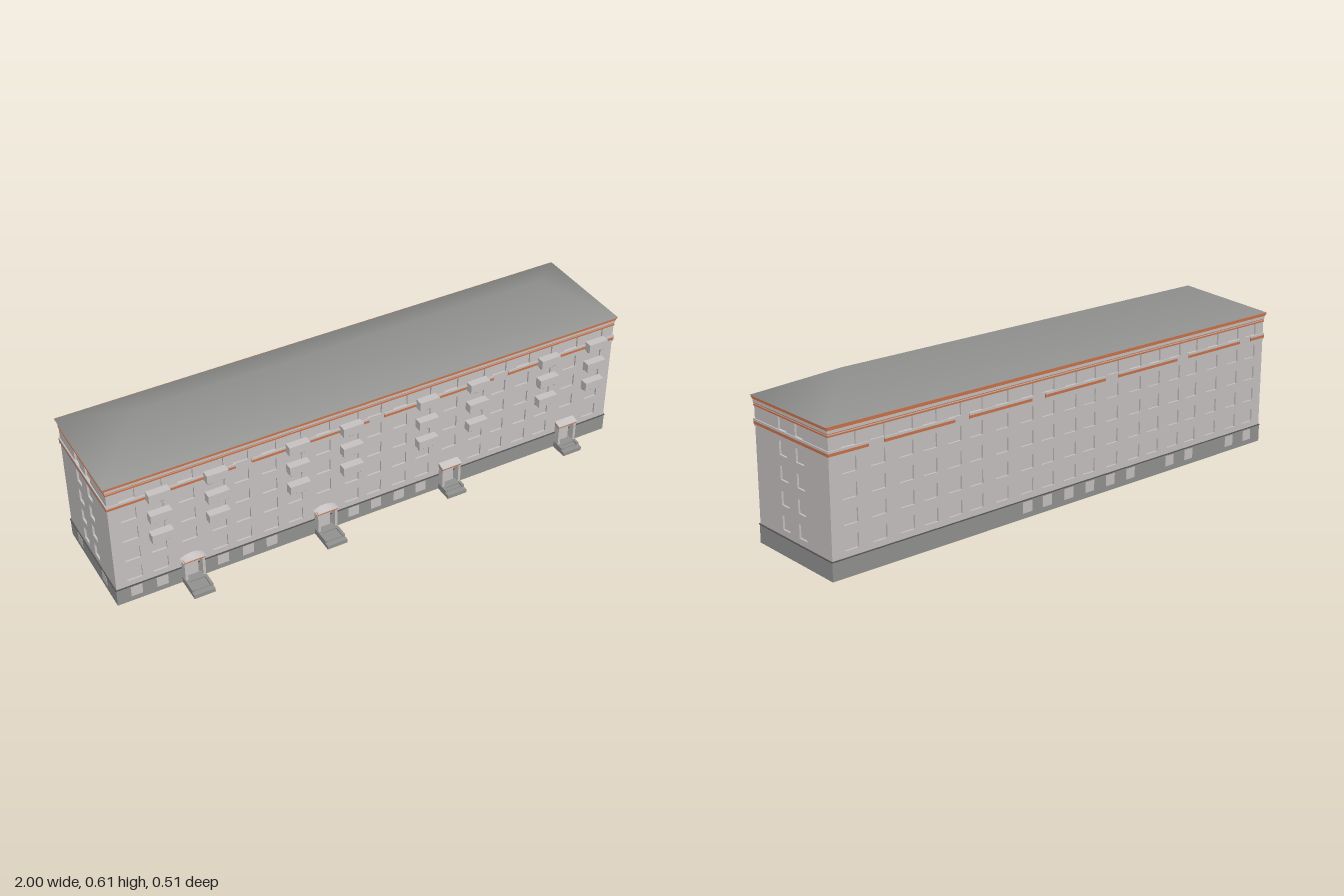
import * as THREE from 'three';

const mat = (name, color, side = THREE.FrontSide) => {
  const m = new THREE.MeshStandardMaterial({ color, side });
  m.name = name;
  return m;
};

export function createModel() {
  const wallMat = mat('wallPlaster', 0xc8c3c2, THREE.DoubleSide);
  const baseMat = mat('baseStone', 0x939492, THREE.DoubleSide);
  const roofMat = mat('roofSheet', 0x8f8f8d, THREE.DoubleSide);
  const trimMat = mat('orangeTrim', 0xcc734a);
  const darkMat = mat('darkEdge', 0x5a5858);

  const model = new THREE.Group();
  model.name = 'apartmentBlock';
  const X = 0.99, Z0 = -0.25, Z1 = 0.16, ZC = (Z0 + Z1) / 2, D = Z1 - Z0;

  const add = (parent, name, geo, material) => {
    const m = new THREE.Mesh(geo, material);
    m.name = name;
    parent.add(m);
    return m;
  };
  // Box given by its limits
  const box = (parent, name, material, x0, x1, y0, y1, z0, z1) => {
    const m = add(parent, name, new THREE.BoxGeometry(x1 - x0, y1 - y0, z1 - z0), material);
    m.position.set((x0 + x1) / 2, (y0 + y1) / 2, (z0 + z1) / 2);
  };
  const rect = (path, x0, x1, y0, y1) => {
    path.moveTo(x0, y0);
    path.lineTo(x1, y0);
    path.lineTo(x1, y1);
    path.lineTo(x0, y1);
    path.closePath();
    return path;
  };
  // Hollow rectangular band running round the building
  const ring = (name, material, y0, y1, out, thick = 0.01) => {
    const s = rect(new THREE.Shape(), -X - out, X + out, -D / 2 - out, D / 2 + out);
    const i = out - thick;
    s.holes.push(rect(new THREE.Path(), -X - i, X + i, -D / 2 - i, D / 2 + i));
    const m = add(model, name, new THREE.ExtrudeGeometry(s, { depth: y1 - y0, bevelEnabled: false }), material);
    m.rotation.x = -Math.PI / 2;
    m.position.set(0, y0, ZC);
  };

  const rows = [0.09, 0.175, 0.261, 0.346, 0.432];
  const H = 0.049;
  // Wall with recessed windows, cellar windows and a banded sill course with gaps
  const wall = (name, w, columns, ww, cellar, gaps, skip) => {
    const g = new THREE.Group();
    g.name = name;
    const s = rect(new THREE.Shape(), -w / 2, w / 2, 0.065, 0.505);
    for (const x of columns) rows.forEach((y, r) => {
      if (skip && skip(x, r)) return;
      s.holes.push(rect(new THREE.Path(), x - ww / 2, x + ww / 2, y, y + H));
    });
    const face = add(g, name + 'Face', new THREE.ExtrudeGeometry(s, { depth: 0.008, bevelEnabled: false }), wallMat);
    face.position.z = -0.008;
    const pane = add(g, 'windowPanes', new THREE.PlaneGeometry(w - 0.02, 0.44), wallMat);
    pane.position.set(0, 0.285, -0.007);
    for (const x of cellar) box(g, 'cellarWindow', wallMat, x - 0.021, x + 0.021, 0.02, 0.06, 0, 0.003);
    // Sill course pieces between the gaps
    let start = -w / 2 - 0.004;
    for (const x of [...gaps].sort((a, b) => a - b).concat(w / 2 + 0.034)) {
      const end = x - 0.03;
      box(g, 'sillCourse', wallMat, start, end, 0.424, 0.432, -0.004, 0.004);
      box(g, 'sillCourseStripe', trimMat, start, end, 0.414, 0.424, -0.004, 0.0035);
      box(g, 'sillCourseFoot', wallMat, start, end, 0.408, 0.414, -0.004, 0.0015);
      start = x + 0.03;
    }
    model.add(g);
    return g;
  };

  const entrances = [-0.715, -0.207, 0.3, 0.805];
  const columns = entrances.flatMap(e => [-0.205, -0.11, 0, 0.11, 0.2].map(d => e + d)).filter(x => Math.abs(x) < 0.955);
  const spaced = columns.filter((x, i) => i === 0 || x - columns[i - 1] > 0.07);
  const isStair = x => entrances.some(e => Math.abs(e - x) < 0.01);

  wall('frontWall', 2 * X, spaced, 0.055,
    [-0.92, -0.826, -0.6, -0.505, -0.414, -0.09, 0, 0.094, 0.185],
    [-0.505, 0, 0.506], (x, r) => r === 0 && isStair(x)).position.z = Z1;
  const back = wall('backWall', 2 * X, spaced.map(x => -x), 0.055,
    [-0.19, -0.1, 0, 0.1, 0.2, 0.3, 0.5, 0.6, 0.82, 0.92],
    [-0.81, -0.47, -0.14, 0.2, 0.555, 0.89]);
  back.position.z = Z0;
  back.rotation.y = Math.PI;
  for (const s of [1, -1]) {
    const end = wall(s > 0 ? 'leftEndWall' : 'rightEndWall', D, [-0.047, 0.047], 0.043,
      s > 0 ? [] : [-0.12, 0.1], []);
    end.position.set(s * X, 0, ZC);
    end.rotation.y = s * Math.PI / 2;
  }

  // Plinth, ledge and cornice
  ring('plinth', baseMat, 0, 0.065, 0.002);
  ring('plinthLedge', darkMat, 0.065, 0.068, 0.004);
  ring('lowerTrim', trimMat, 0.476, 0.481, 0.002);
  ring('upperTrim', trimMat, 0.485, 0.488, 0.002);
  ring('corniceBand', wallMat, 0.488, 0.499, 0.003);
  ring('corniceLower', trimMat, 0.499, 0.505, 0.005);
  ring('corniceUpper', trimMat, 0.505, 0.511, 0.007);

  // Hipped roof with soft normals
  const roof = new THREE.BufferGeometry();
  const e0 = Z0 - 0.006, e1 = Z1 + 0.009, ey = 0.511;
  roof.setAttribute('position', new THREE.Float32BufferAttribute([
    -1, ey, e1, 1, ey, e1, 1, ey, e0, -1, ey, e0, -0.79, 0.61, ZC, 0.79, 0.61, ZC], 3));
  roof.setIndex([0, 1, 4, 1, 5, 4, 2, 3, 4, 2, 4, 5, 1, 2, 5, 3, 0, 4]);
  roof.computeVertexNormals();
  add(model, 'hippedRoof', roof, roofMat);

  // Balconies in pairs beside each stairwell
  for (const e of entrances) for (const side of [-1, 1]) for (const y of [0.236, 0.321, 0.407]) {
    const g = new THREE.Group();
    g.name = 'balcony';
    box(g, 'balconyFloor', darkMat, -0.038, 0.038, 0, 0.002, 0, 0.028);
    box(g, 'balconyBody', wallMat, -0.039, 0.039, 0.002, 0.036, 0, 0.03);
    g.position.set(e + side * 0.103, y, Z1);
    model.add(g);
  }

  // Entrance porches with steps; the first two have arched canopies
  entrances.forEach((e, i) => {
    const g = new THREE.Group();
    g.name = 'entrancePorch';
    const arched = i < 2, far = arched ? 0.098 : 0.07;
    for (const s of [-1, 1]) {
      box(g, 'porchSide', wallMat, s * 0.033 - 0.005, s * 0.033 + 0.005, 0.025, 0.101, 0, 0.027);
      box(g, 'stepCheek', baseMat, s * 0.034 - 0.005, s * 0.034 + 0.005, 0, 0.025, 0, far - 0.017);
    }
    box(g, 'porchLanding', baseMat, -0.034, 0.034, 0, 0.024, 0, 0.035);
    box(g, 'entranceDoor', wallMat, -0.02, 0.02, 0.025, 0.088, 0, 0.006);
    box(g, 'upperStep', baseMat, -0.03, 0.03, 0, 0.019, 0.035, far - 0.02);
    box(g, 'lowerStep', baseMat, -0.039, 0.039, 0, 0.015, far - 0.03, far);
    box(g, 'canopyTrim', trimMat, -0.039, 0.039, 0.101, 0.108, 0, 0.028);
    const c = new THREE.Shape();
    if (arched) {
      c.moveTo(-0.043, 0.107);
      c.lineTo(0.043, 0.107);
      c.quadraticCurveTo(0, 0.129, -0.043, 0.107);
    } else {
      c.moveTo(0, 0.107);
      c.lineTo(0.03, 0.107);
      c.lineTo(0.03, 0.109);
      c.lineTo(0, 0.117);
    }
    const geo = new THREE.ExtrudeGeometry(c, { depth: arched ? 0.03 : 0.08, bevelEnabled: false });
    const canopy = add(g, 'canopy', geo, wallMat);
    if (arched) {
      // Flatten the front end so the arch slopes down and outward
      const p = geo.attributes.position;
      for (let k = 0; k < p.count; k++) if (p.getZ(k) > 0.015) p.setY(k, 0.107 + (p.getY(k) - 0.107) * 0.25);
      geo.computeVertexNormals();
    } else {
      canopy.rotation.y = -Math.PI / 2;
      canopy.position.x = 0.04;
    }
    g.position.set(e, 0, Z1);
    model.add(g);
  });

  return model;
}
